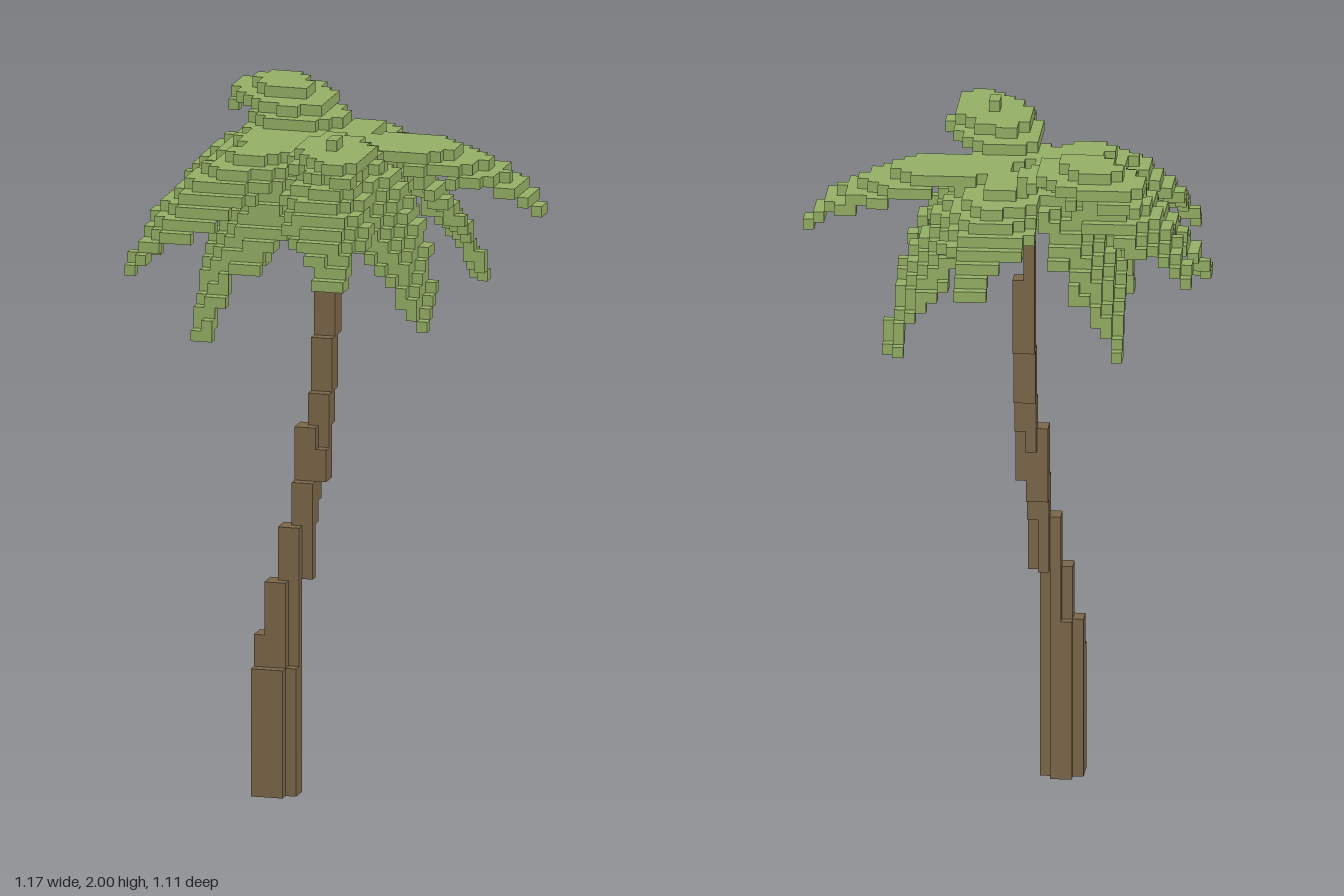
import * as THREE from 'three';

const S = 2 / 63; // voxel edge length
const NX = 18, NZ = 17; // half extents of the voxel grid around the centre

// Trunk segments in voxel units: yBottom, yTop, xMin, xMax, zMin, zMax
const TRUNK = [
  [0, 12, -6.5, -2.5, 4.5, 8.5],
  [12, 15, -6.5, -2.5, 4.5, 7.5],
  [15, 20, -5.5, -2.5, 4.5, 7.5],
  [20, 25, -4.5, -1.5, 3.5, 6.5],
  [25, 27, -3.5, -1.5, 3.5, 5.5],
  [27, 29, -3.5, -1.5, 2.5, 5.5],
  [29, 32, -3.5, -0.5, 2.5, 4.5],
  [32, 34, -3.5, -0.5, 1.5, 4.5],
  [34, 37, -2.5, -0.5, 1.5, 3.5],
  [37, 42, -2.5, -0.5, 0.5, 2.5],
  [42, 49, -2.5, -0.5, -0.5, 1.5],
  [49, 56, -2.5, -1.5, -0.5, 1.5],
];

// Fronds: tip position, start height, height of the arch control point,
// half width, relative width at the tip, sag of the side edges
const FRONDS = [
  { name: 'upperFrondLeft', tip: [0.59, 1.73, -0.05], y0: 1.86, yc: 1.99, w: 0.135, end: 0.25, sag: 0.04 },
  { name: 'upperFrondBack', tip: [-0.43, 1.9, -0.51], y0: 1.84, yc: 2.09, w: 0.14, end: 0.2, sag: 0.05 },
  { name: 'upperFrondFront', tip: [0.14, 1.92, 0.55], y0: 1.84, yc: 2.05, w: 0.125, end: 0.25, sag: 0.05 },
  { name: 'middleFrondBack', tip: [0.07, 1.66, -0.55], y0: 1.85, yc: 1.99, w: 0.14, end: 0.2, sag: 0.07 },
  { name: 'middleFrondBackRight', tip: [-0.55, 1.64, -0.24], y0: 1.85, yc: 2.03, w: 0.135, end: 0.3, sag: 0.08 },
  { name: 'middleFrondRight', tip: [-0.58, 1.57, 0.06], y0: 1.85, yc: 2.04, w: 0.135, end: 0.3, sag: 0.08 },
  { name: 'middleFrondFrontRight', tip: [-0.5, 1.61, 0.47], y0: 1.85, yc: 2.02, w: 0.14, end: 0.25, sag: 0.08 },
  { name: 'middleFrondFront', tip: [0.1, 1.59, 0.52], y0: 1.85, yc: 2.0, w: 0.13, end: 0.25, sag: 0.08 },
  { name: 'lowerFrondFrontLeft', tip: [0.31, 1.45, 0.29], y0: 1.82, yc: 2.02, w: 0.13, end: 0.3, sag: 0.08 },
  { name: 'lowerFrondBackLeft', tip: [0.31, 1.44, -0.37], y0: 1.82, yc: 2.02, w: 0.12, end: 0.3, sag: 0.08 },
  { name: 'lowerFrondFrontRight', tip: [-0.31, 1.4, 0.45], y0: 1.82, yc: 2.02, w: 0.13, end: 0.15, sag: 0.08 },
  { name: 'lowerFrondBackRight', tip: [-0.37, 1.4, -0.38], y0: 1.82, yc: 2.02, w: 0.13, end: 0.15, sag: 0.08 },
];
const CROWN = [-0.05, -0.02]; // x, z where the fronds meet

// Height of a frond's sheet over the point x, z, or null outside its outline
function frondHeight(f, x, z) {
  const dx = f.tip[0] - CROWN[0], dz = f.tip[2] - CROWN[1];
  const len = Math.hypot(dx, dz);
  const px = x - CROWN[0], pz = z - CROWN[1];
  const t = (px * dx + pz * dz) / (len * len);
  const side = Math.abs(px * dz - pz * dx) / len;
  if (t < -0.06 || t > 1.02) return null;
  // serrated leaf outline, tapering at both ends
  const tooth = Math.floor((t * len) / S) % 4 < 2 ? 0 : 0.35 * S;
  const half = f.w * Math.min(1, 0.5 + 1.6 * t, f.end + 2.6 * (1 - t)) - tooth;
  if (side > half) return null;
  const u = THREE.MathUtils.clamp(t, 0, 1);
  const spine = (1 - u) ** 2 * f.y0 + 2 * u * (1 - u) * f.yc + u * u * f.tip[1];
  return spine - f.sag * (side / f.w) ** 2;
}

// Fill one frond's columns, deep enough on slopes to stay joined
function fillFrond(f, taken) {
  const cells = [];
  for (let i = -NX; i <= NX; i++) {
    for (let k = -NZ; k <= NZ; k++) {
      const h = frondHeight(f, i * S, k * S);
      if (h === null) continue;
      let low = h;
      for (const [a, b] of [[1, 0], [-1, 0], [0, 1], [0, -1]]) {
        const n = frondHeight(f, (i + a) * S, (k + b) * S);
        if (n !== null) low = Math.min(low, n + S / 2);
      }
      const top = Math.min(62, Math.floor(h / S));
      const bottom = Math.min(top, Math.floor(low / S));
      for (let j = bottom; j <= top; j++) {
        const key = `${i},${j},${k}`;
        if (taken.has(key)) continue;
        taken.add(key);
        cells.push([i, j, k]);
      }
    }
  }
  return cells;
}

// Cube faces that are not covered by a neighbouring voxel
function voxelGeometry(cells, taken) {
  const pos = [], nor = [], idx = [];
  for (const c of cells) {
    for (let axis = 0; axis < 3; axis++) {
      for (const sign of [-1, 1]) {
        const n = [0, 0, 0];
        n[axis] = sign;
        if (taken.has(c.map((v, m) => v + n[m]).join())) continue;
        const base = pos.length / 3;
        for (const [a, b] of [[-1, -1], [1, -1], [1, 1], [-1, 1]]) {
          const p = [0, 0, 0];
          p[axis] = sign / 2;
          p[(axis + 1) % 3] = (a * sign) / 2;
          p[(axis + 2) % 3] = b / 2;
          pos.push((c[0] + p[0]) * S, (c[1] + 0.5 + p[1]) * S, (c[2] + p[2]) * S);
          nor.push(...n);
        }
        idx.push(base, base + 1, base + 2, base, base + 2, base + 3);
      }
    }
  }
  const g = new THREE.BufferGeometry();
  g.setAttribute('position', new THREE.Float32BufferAttribute(pos, 3));
  g.setAttribute('normal', new THREE.Float32BufferAttribute(nor, 3));
  g.setIndex(idx);
  return g;
}

// Trunk segment; thick ones have three corners notched by one voxel
function trunkGeometry([y0, y1, x0, x1, z0, z1]) {
  const c = Math.min(x1 - x0, z1 - z0) > 2 ? 1 : 0;
  const outline = c
    ? [[x0, z1], [x1 - c, z1], [x1 - c, z1 - c], [x1, z1 - c], [x1, z0 + c], [x1 - c, z0 + c],
      [x1 - c, z0], [x0 + c, z0], [x0 + c, z0 + c], [x0, z0 + c]]
    : [[x0, z1], [x1, z1], [x1, z0], [x0, z0]];
  const shape = new THREE.Shape(outline.map(([x, z]) => new THREE.Vector2(x * S, -z * S)));
  const g = new THREE.ExtrudeGeometry(shape, { depth: (y1 - y0) * S, bevelEnabled: false });
  return g.rotateX(-Math.PI / 2).translate(0, y0 * S, 0);
}

export function createModel() {
  const model = new THREE.Group();
  model.name = 'palmTree';
  const bark = new THREE.MeshStandardMaterial({ color: 0x7c684a });
  const leaf = new THREE.MeshStandardMaterial({ color: 0x96b166 });

  // Leaning stepped trunk
  const trunk = new THREE.Group();
  trunk.name = 'trunk';
  for (const segment of TRUNK) {
    const mesh = new THREE.Mesh(trunkGeometry(segment), bark);
    mesh.name = 'trunkSegment';
    trunk.add(mesh);
  }
  model.add(trunk);

  // Crown of drooping fronds
  const crown = new THREE.Group();
  crown.name = 'crown';
  const taken = new Set();
  const filled = FRONDS.map((f) => fillFrond(f, taken));
  FRONDS.forEach((f, n) => {
    const mesh = new THREE.Mesh(voxelGeometry(filled[n], taken), leaf);
    mesh.name = f.name;
    crown.add(mesh);
  });
  model.add(crown);
  return model;
}
